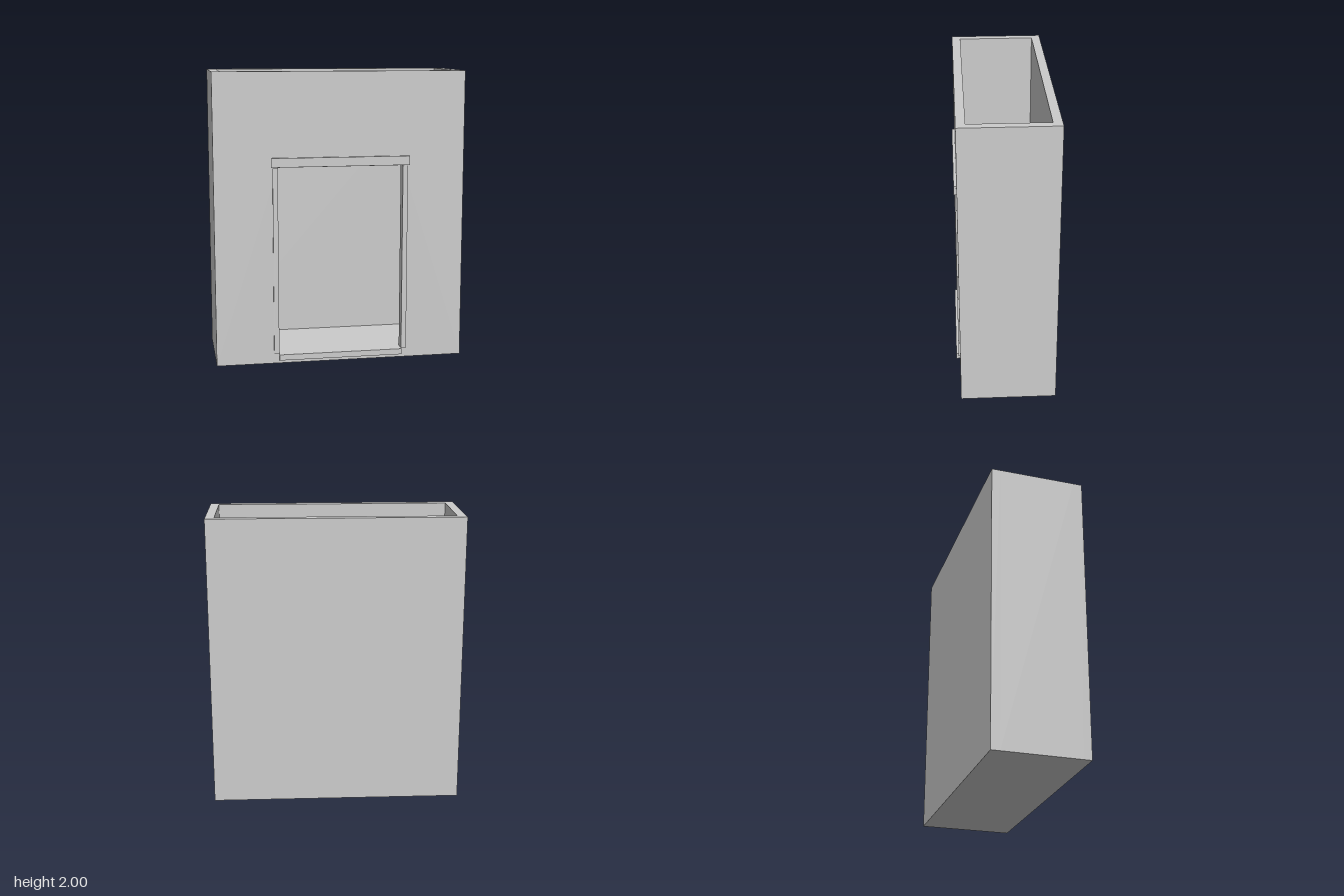
import * as THREE from 'three';

const W = 0.86, H = 2, BACK = -0.335, FRONT = 0.31, T = 0.06; // shell extents and wall thickness
const DOOR = 0.43, SILL = 0.065, HEAD = 1.36;                 // doorway half width, bottom and top

export function createModel() {
  const group = new THREE.Group();
  const material = new THREE.MeshStandardMaterial({ color: 0xcccccc });

  const add = (name, geometry) => {
    const mesh = new THREE.Mesh(geometry, material);
    mesh.name = name;
    group.add(mesh);
    return mesh;
  };

  // Box given by its extents along each axis
  const box = (name, x0, x1, y0, y1, z0, z1) =>
    add(name, new THREE.BoxGeometry(x1 - x0, y1 - y0, z1 - z0))
      .position.set((x0 + x1) / 2, (y0 + y1) / 2, (z0 + z1) / 2);

  const rectangle = (target, x0, x1, y0, y1) => {
    target.moveTo(x0, y0).lineTo(x1, y0).lineTo(x1, y1).lineTo(x0, y1).closePath();
    return target;
  };

  // Front wall with the doorway cut through
  const outline = rectangle(new THREE.Shape(), -W, W, 0, H);
  outline.holes.push(rectangle(new THREE.Path(), -DOOR, DOOR, SILL, HEAD));
  add('frontWall', new THREE.ExtrudeGeometry(outline, { depth: T, bevelEnabled: false }))
    .position.z = FRONT - T;

  // Back wall and floor; the top stays open
  box('backWall', -W, W, 0, H, BACK, BACK + T);
  box('floor', -W + T, W - T, 0, SILL, BACK + T, FRONT - T);

  // Side walls and door jambs, mirrored
  for (const [side, s] of [['left', 1], ['right', -1]]) {
    const span = (a, b) => (s > 0 ? [a, b] : [-b, -a]);
    box(side + 'Wall', ...span(W - T, W), 0, H, BACK + T, FRONT - T);
    box(side + 'Jamb', ...span(DOOR, 0.465), 0.068, 1.357, FRONT - 0.01, 0.32);
  }

  // Lintel above the door and sill below it
  box('lintel', -0.475, 0.475, HEAD + 0.003, 1.425, FRONT - 0.01, 0.328);
  box('sill', -DOOR, DOOR, 0.025, SILL, FRONT - 0.01, 0.335);

  return group;
}
